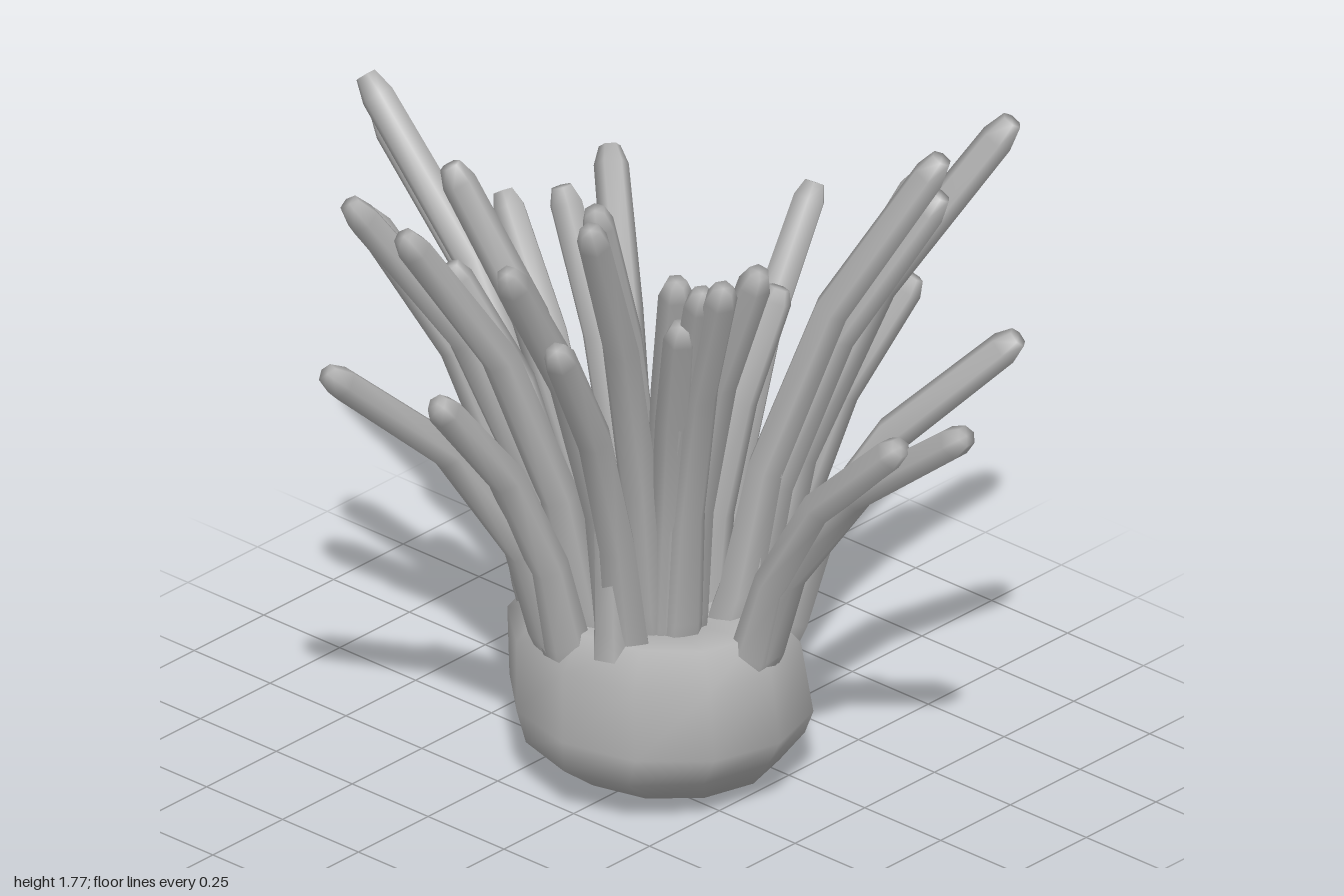
import * as THREE from 'three';

const skin = new THREE.MeshStandardMaterial({ color: 0xb2b2b2 });
skin.name = 'grey skin';

// Skins a list of rings (arrays of Vector3, equal length) and closes both ends with a centre point
function loft(rings, startPoint, endPoint) {
  const n = rings[0].length;
  const points = [...rings.flat(), startPoint, endPoint];
  const first = points.length - 2, last = points.length - 1;
  const index = [];
  for (let j = 0; j < n; j++) {
    const k = (j + 1) % n;
    for (let i = 0; i < rings.length - 1; i++) {
      const a = i * n + j, b = i * n + k;
      index.push(a, b, b + n, a, b + n, a + n);
    }
    const top = (rings.length - 1) * n;
    index.push(first, k, j, last, top + j, top + k);
  }
  const geometry = new THREE.BufferGeometry().setFromPoints(points);
  geometry.setIndex(index);
  geometry.computeVertexNormals();
  return geometry;
}

// Squat, slightly lopsided body: y, half width, front z, back z
function createBody() {
  const profile = [
    [0.05, 0.28, 0.18, -0.36],
    [0.13, 0.34, 0.285, -0.44],
    [0.21, 0.39, 0.29, -0.42],
    [0.4, 0.385, 0.29, -0.37],
    [0.48, 0.32, 0.22, -0.31],
    [0.45, 0.16, 0.08, -0.18],
  ];
  const sides = 12;
  const rings = profile.map(([y, rx, front, back]) =>
    Array.from({ length: sides }, (_, j) => {
      const a = (j / sides) * Math.PI * 2;
      return new THREE.Vector3(
        Math.sin(a) * rx, y,
        (front + back) / 2 + Math.cos(a) * (front - back) / 2);
    }));
  const geometry = loft(rings, new THREE.Vector3(0, 0, -0.1), new THREE.Vector3(0, 0.44, -0.05));
  return new THREE.Mesh(geometry, skin);
}

// Tentacle that leaves the body upright and bends outwards to its tip
function createTentacle([x, y, z]) {
  const centreZ = -0.06, rootY = 0.34;
  const tip = new THREE.Vector3(x, y, z);
  const out = new THREE.Vector3(x, 0, z - centreZ);
  const slope = out.length() / (y - 0.4);
  out.normalize();
  const side = new THREE.Vector3(out.z, 0, -out.x);
  const rootR = THREE.MathUtils.clamp(0.6 * slope - 0.12, 0.05, 0.31);
  const root = new THREE.Vector3(out.x * rootR, rootY, centreZ + out.z * rootR * 0.9);

  // height fraction, outward fraction, radius
  const stations = [
    [-0.06, -0.12, 0.07], [0.13, 0.03, 0.06], [0.37, 0.15, 0.05],
    [0.69, 0.47, 0.047], [0.965, 0.94, 0.043], [1, 1, 0.027],
  ];
  const centres = stations.map(([h, f]) => new THREE.Vector3(
    THREE.MathUtils.lerp(root.x, tip.x, f),
    THREE.MathUtils.lerp(root.y, tip.y, h),
    THREE.MathUtils.lerp(root.z, tip.z, f)));
  const sides = 6;
  const rings = stations.map(([, , r], i) => {
    const before = centres[Math.max(i - 1, 0)];
    const after = centres[Math.min(i + 1, centres.length - 1)];
    const along = after.clone().sub(before).normalize();
    const across = side.clone().addScaledVector(along, -side.dot(along)).normalize();
    const normal = along.clone().cross(across);
    return Array.from({ length: sides }, (_, j) => {
      const a = (j / sides) * Math.PI * 2;
      return centres[i].clone()
        .addScaledVector(across, Math.cos(a) * r)
        .addScaledVector(normal, Math.sin(a) * r);
    });
  });
  return new THREE.Mesh(loft(rings, centres[0], tip), skin);
}

export function createModel() {
  const model = new THREE.Group();
  model.name = 'seaAnemone';

  const body = createBody();
  body.name = 'body';
  model.add(body);

  // Tentacle tips: x, y, z
  const tips = [
    // back
    [0.16, 1.39, -0.84], [-0.06, 1.35, -0.68], [0.6, 1.76, -0.67], [0.72, 1.25, -0.56],
    [0.33, 1.26, -0.61], [0.53, 1.6, -0.49], [-0.68, 1.25, -0.62], [0.57, 1.73, -0.45],
    [0.08, 1.22, -0.4],
    // left
    [1, 1.27, -0.07], [0.82, 1.19, -0.03], [0.4, 1.54, 0.02], [0.42, 1.56, 0.17],
    [0.36, 1.53, 0.18], [0.3, 1.42, 0.19], [0.21, 1.48, 0.11],
    // front
    [0.07, 1.68, 0.25], [0.22, 1.75, 0.43], [0.2, 1.45, 0.53], [0.11, 1.66, 0.61],
    [-0.11, 1.23, 0.62], [-0.22, 1.65, 0.62], [-0.27, 1.34, 0.84], [-0.38, 1.69, 0.64],
    [0.07, 0.8, 0.2],
    // right
    [-0.65, 1.43, 0.29], [-0.49, 1.57, 0.16], [-0.42, 1.35, 0.24], [-0.99, 1.43, -0.13],
    [-0.97, 1.56, -0.06], [-0.7, 1.26, -0.26], [-0.37, 1.45, -0.11],
  ];
  const tentacles = new THREE.Group();
  tentacles.name = 'tentacles';
  tips.forEach((tip, i) => {
    const tentacle = createTentacle(tip);
    tentacle.name = `tentacle${i + 1}`;
    tentacles.add(tentacle);
  });
  model.add(tentacles);
  return model;
}
